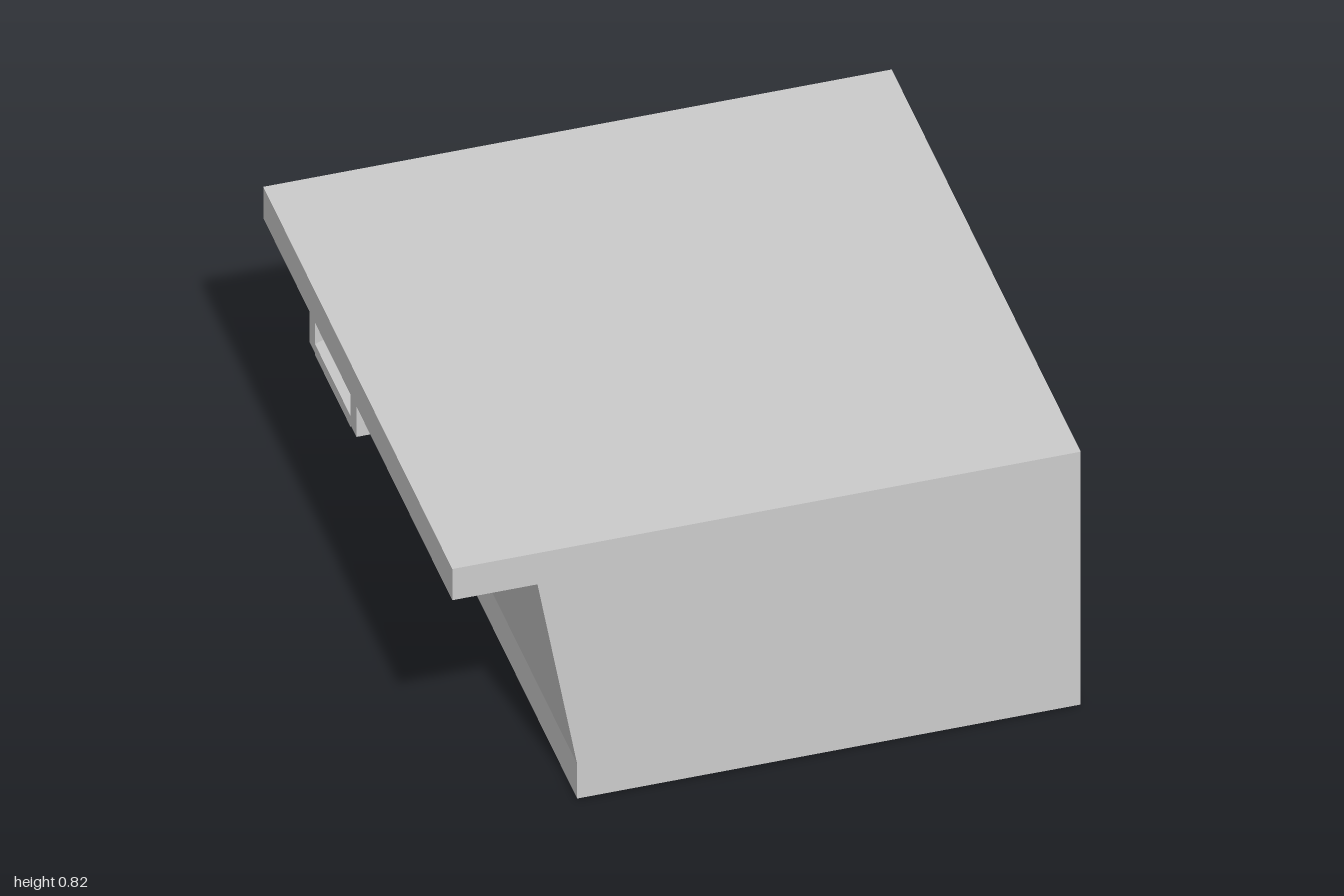
import * as THREE from 'three';

const material = new THREE.MeshStandardMaterial({ color: 0xcccccc, flatShading: true });

// Extrude an x/y outline along z between two depths
function prism(name, points, z0, z1) {
  const shape = new THREE.Shape(points.map(([x, y]) => new THREE.Vector2(x, y)));
  const geometry = new THREE.ExtrudeGeometry(shape, { depth: z1 - z0, bevelEnabled: false });
  geometry.translate(0, 0, z0);
  const mesh = new THREE.Mesh(geometry, material);
  mesh.name = name;
  return mesh;
}

// Box given by its minimum and maximum corners
function block(name, [x0, y0, z0], [x1, y1, z1]) {
  const geometry = new THREE.BoxGeometry(x1 - x0, y1 - y0, z1 - z0);
  geometry.translate((x0 + x1) / 2, (y0 + y1) / 2, (z0 + z1) / 2);
  const mesh = new THREE.Mesh(geometry, material);
  mesh.name = name;
  return mesh;
}

export function createModel() {
  const model = new THREE.Group();
  model.name = 'housing';

  // Main body with slanted side and overhanging top
  model.add(prism('body', [
    [-0.5, 0.01], [0.83, 0.01], [0.83, 0.82], [-0.83, 0.82],
    [-0.83, 0.72], [-0.605, 0.72], [-0.5, 0.12],
  ], -0.643, 1));

  // Shelf on the rear, running a little past the slanted side
  model.add(block('shelf', [-0.58, 0.375, -0.955], [0.03, 0.437, -0.53]));

  // Tray below the shelf, open on one side with a ramp down to its lip
  const tray = new THREE.Group();
  tray.name = 'tray';
  tray.add(
    prism('trayFloor', [
      [-0.6, 0], [-0.51, 0.006], [0, 0.006], [0, 0.115], [-0.4, 0.115], [-0.6, 0.035],
    ], -0.95, -0.643),
    block('trayBackWall', [-0.6, 0.006, -1], [0, 0.14, -0.95]),
    block('traySideWall', [0, 0.006, -1], [0.06, 0.14, -0.643]),
    block('trayFrontLip', [-0.6, 0.006, -0.643], [-0.45, 0.107, -0.59]),
  );
  model.add(tray);
  return model;
}
